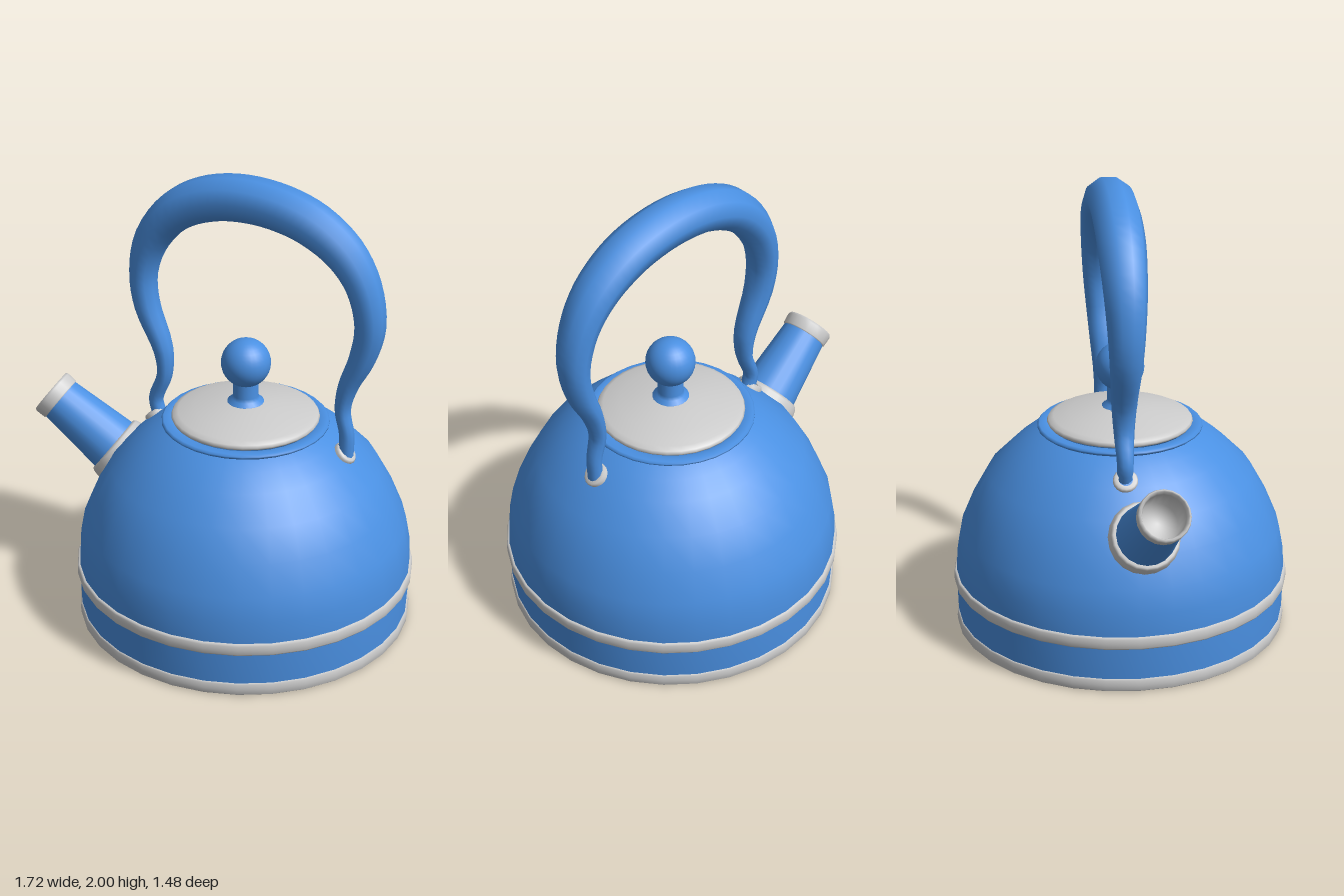
import * as THREE from 'three';

const blue = new THREE.MeshStandardMaterial({ color: 0x4a90e2, side: THREE.DoubleSide });
const grey = new THREE.MeshStandardMaterial({ color: 0xcccccc, side: THREE.DoubleSide });
const CX = 0.12; // axis of the pot

export function createModel() {
  const group = new THREE.Group();

  function add(name, geometry, material, parent = group) {
    const mesh = new THREE.Mesh(geometry, material);
    mesh.name = name;
    parent.add(mesh);
    return mesh;
  }
  // Profile of [radius, height] pairs turned around the y axis
  function lathe(name, profile, material, parent, segments = 32) {
    const points = profile.map(([r, y]) => new THREE.Vector2(r, y));
    return add(name, new THREE.LatheGeometry(points, segments), material, parent);
  }

  // Pot: domed body, base, metal bands, lid and knob share one axis
  const pot = new THREE.Group();
  pot.name = 'pot';
  pot.position.x = CX;
  group.add(pot);

  lathe('body', [
    [0.724, 0.01], [0.728, 0.1], [0.73, 0.25], [0.725, 0.35], [0.705, 0.455], [0.65, 0.585],
    [0.58, 0.71], [0.475, 0.815], [0.4, 0.875], [0.345, 0.905],
  ], blue, pot);
  lathe('bottom', [[0, 0.006], [0.724, 0.006]], blue, pot);
  lathe('neckRim', [
    [0.335, 0.9], [0.35, 0.907], [0.36, 0.915], [0.36, 0.922], [0.352, 0.93], [0.32, 0.93], [0.3, 0.92],
  ], blue, pot);
  lathe('baseBand', [
    [0.715, 0.004], [0.725, 0], [0.732, 0.006], [0.734, 0.03], [0.732, 0.052], [0.726, 0.058], [0.715, 0.058],
  ], grey, pot);
  lathe('middleBand', [
    [0.72, 0.2], [0.735, 0.2], [0.741, 0.208], [0.742, 0.228], [0.741, 0.247], [0.735, 0.255], [0.72, 0.255],
  ], grey, pot);
  lathe('lid', [
    [0.3, 0.925], [0.312, 0.93], [0.318, 0.94], [0.312, 0.951], [0.29, 0.962],
    [0.22, 0.98], [0.14, 0.996], [0.06, 1.007], [0, 1.009],
  ], grey, pot);
  lathe('knobStem', [
    [0.08, 0.995], [0.078, 1.008], [0.06, 1.018], [0.055, 1.035], [0.055, 1.11],
  ], blue, pot, 20);
  add('knob', new THREE.SphereGeometry(0.106, 28, 18), blue, pot).position.y = 1.185;

  // Spout: built upright, then leaned along its axis
  const spout = new THREE.Group();
  spout.name = 'spout';
  const base = new THREE.Vector3(-0.47, 0.64, 0.03);
  const tip = new THREE.Vector3(-0.8, 0.888, 0.07);
  const axis = tip.clone().sub(base);
  const length = axis.length();
  spout.position.copy(base);
  spout.quaternion.setFromUnitVectors(new THREE.Vector3(0, 1, 0), axis.normalize());
  group.add(spout);

  lathe('spoutCollar', [
    [0.145, -0.05], [0.153, -0.01], [0.153, 0.01], [0.146, 0.04], [0.138, 0.05], [0.115, 0.05],
  ], grey, spout, 20);
  lathe('spoutTube', [[0.13, 0], [0.127, 0.06], [0.1, length - 0.05]], blue, spout, 20);
  lathe('spoutRim', [
    [0.099, length - 0.06], [0.107, length - 0.055], [0.109, length - 0.01], [0.104, length],
    [0.096, length], [0.09, length - 0.02], [0.085, length - 0.15], [0, length - 0.15],
  ], grey, spout, 20);

  // Handle: sections are x, y, radius in the plane of the arch, radius along z
  const sections = [
    [-0.305, 0.83, 0.033, 0.034], [-0.325, 0.91, 0.032, 0.035], [-0.282, 1.03, 0.033, 0.043],
    [-0.285, 1.15, 0.042, 0.053], [-0.36, 1.35, 0.055, 0.068], [-0.375, 1.5, 0.06, 0.078],
    [-0.33, 1.66, 0.075, 0.09], [-0.205, 1.81, 0.09, 0.1], [-0.06, 1.88, 0.096, 0.102],
    [0.1, 1.903, 0.098, 0.102],
    [0.27, 1.885, 0.097, 0.102], [0.41, 1.835, 0.094, 0.1], [0.54, 1.74, 0.085, 0.094],
    [0.625, 1.61, 0.073, 0.085], [0.66, 1.44, 0.064, 0.074], [0.63, 1.29, 0.055, 0.063],
    [0.572, 1.15, 0.042, 0.053], [0.552, 1.04, 0.033, 0.043], [0.573, 0.93, 0.032, 0.035],
    [0.572, 0.83, 0.033, 0.034],
  ];
  const path = new THREE.CatmullRomCurve3(sections.map(([x, y]) => new THREE.Vector3(x, y, 0)));
  const radii = new THREE.CatmullRomCurve3(sections.map(([, , a, b]) => new THREE.Vector3(a, b, 0)));
  const steps = 76;
  const sides = 10;
  const positions = [];
  const indices = [];
  for (let i = 0; i <= steps; i++) {
    const p = path.getPoint(i / steps);
    const t = path.getTangent(i / steps);
    const r = radii.getPoint(i / steps);
    for (let j = 0; j < sides; j++) {
      const a = ((j + 0.5) / sides) * Math.PI * 2;
      const out = Math.cos(a) * r.x;
      positions.push(p.x - t.y * out, p.y + t.x * out, Math.sin(a) * r.y - 0.03);
      if (i === steps) continue;
      const k = i * sides + j;
      const n = i * sides + ((j + 1) % sides);
      indices.push(k, k + sides, n, n, k + sides, n + sides);
    }
  }
  const handle = new THREE.BufferGeometry();
  handle.setAttribute('position', new THREE.Float32BufferAttribute(positions, 3));
  handle.setIndex(indices);
  handle.computeVertexNormals();
  add('handle', handle, blue);

  // Metal washers where the handle meets the body
  for (const side of [-1, 1]) {
    const washer = lathe(side > 0 ? 'leftWasher' : 'rightWasher', [
      [0.052, -0.02], [0.053, 0.006], [0.046, 0.016], [0.03, 0.016],
    ], grey, group, 16);
    washer.position.set(CX + side * 0.448, 0.838, -0.03);
    washer.rotation.z = -side * 0.75;
  }

  return group;
}
